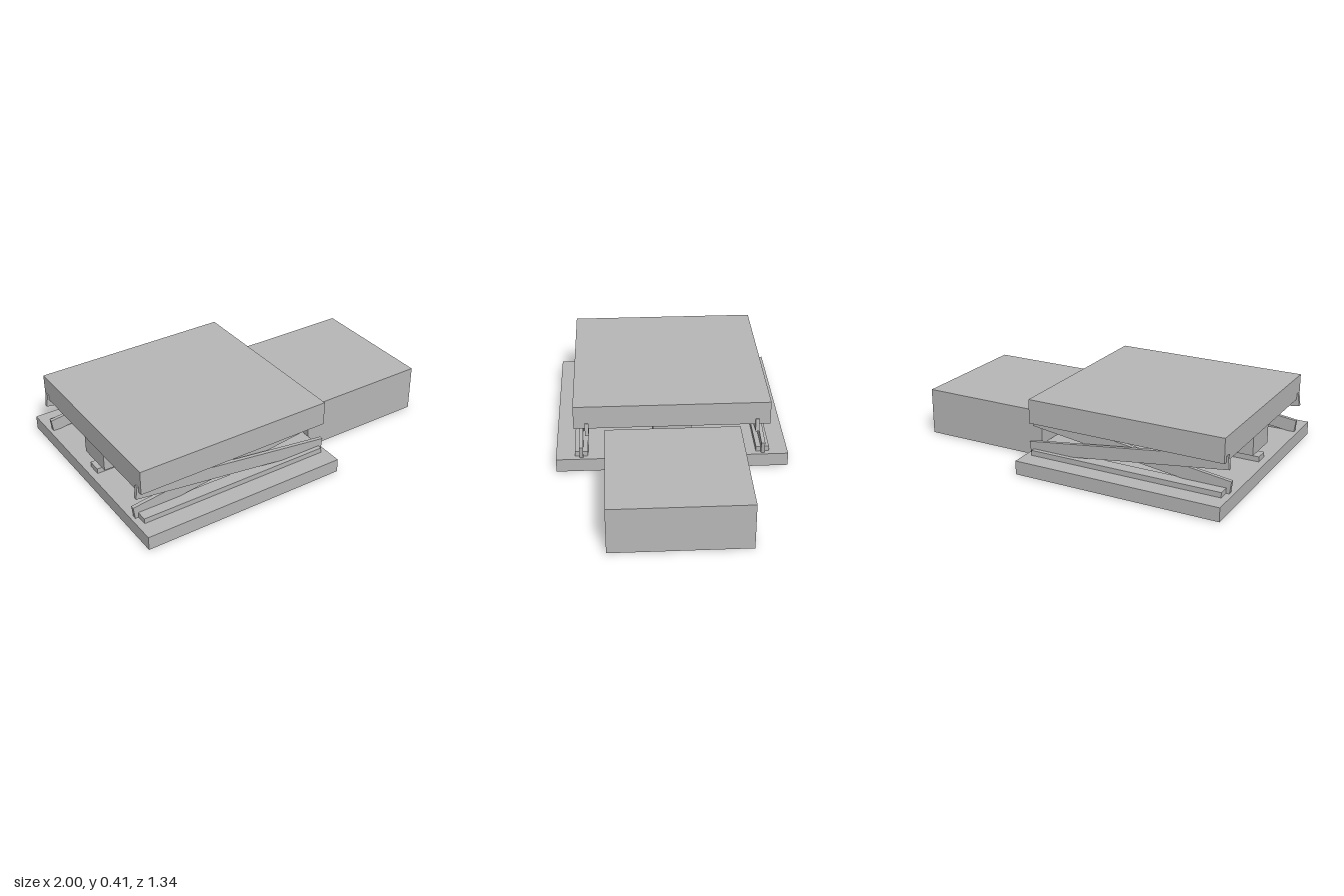
import * as THREE from 'three';

export function createModel() {
  const model = new THREE.Group();
  model.name = 'scissorLiftTable';
  const steel = new THREE.MeshStandardMaterial({ color: 0xb8b8b8 });
  steel.name = 'grey steel';

  // Box from its limits on each axis
  const box = (name, [x0, x1], [y0, y1], [z0, z1]) => {
    const mesh = new THREE.Mesh(new THREE.BoxGeometry(x1 - x0, y1 - y0, z1 - z0), steel);
    mesh.name = name;
    mesh.position.set((x0 + x1) / 2, (y0 + y1) / 2, (z0 + z1) / 2);
    model.add(mesh);
    return mesh;
  };

  // Main bodies
  box('basePlate', [-1, 0.22], [0, 0.08], [-0.672, 0.672]);
  box('platform', [-0.97, 0.195], [0.27, 0.41], [-0.563, 0.563]);
  box('powerUnit', [0.225, 1], [0, 0.275], [-0.388, 0.388]);

  // Scissor pairs and their rails, mirrored front to back
  const midX = -0.388, midY = 0.19, tilt = 0.13;
  const arm = (name, z, angle) => {
    const mesh = box(name, [midX - 0.6, midX + 0.6], [midY - 0.038, midY + 0.038], [z - 0.011, z + 0.011]);
    mesh.rotation.z = angle;
  };
  for (const side of [1, -1]) {
    const end = side > 0 ? 'front' : 'back';
    arm(end + 'InnerArm', side * 0.488, tilt);
    arm(end + 'OuterArm', side * 0.526, -tilt);
    const z = [side * 0.487, side * 0.563].sort((a, b) => a - b);
    box(end + 'Rail', [-0.96, 0.185], [0.08, 0.11], z);
  }

  // Centre rail and the lifting blocks under the platform
  box('centreRail', [-0.96, 0.185], [0.08, 0.11], [-0.04, 0.04]);
  box('rightLiftBlock', [-0.95, -0.756], [0.14, 0.27], [-0.11, 0.11]);
  box('leftLiftBlock', [-0.03, 0.17], [0.14, 0.27], [-0.11, 0.11]);
  box('pivotBlock', [-0.48, -0.296], [0.15, 0.235], [-0.11, 0.11]);

  return model;
}
